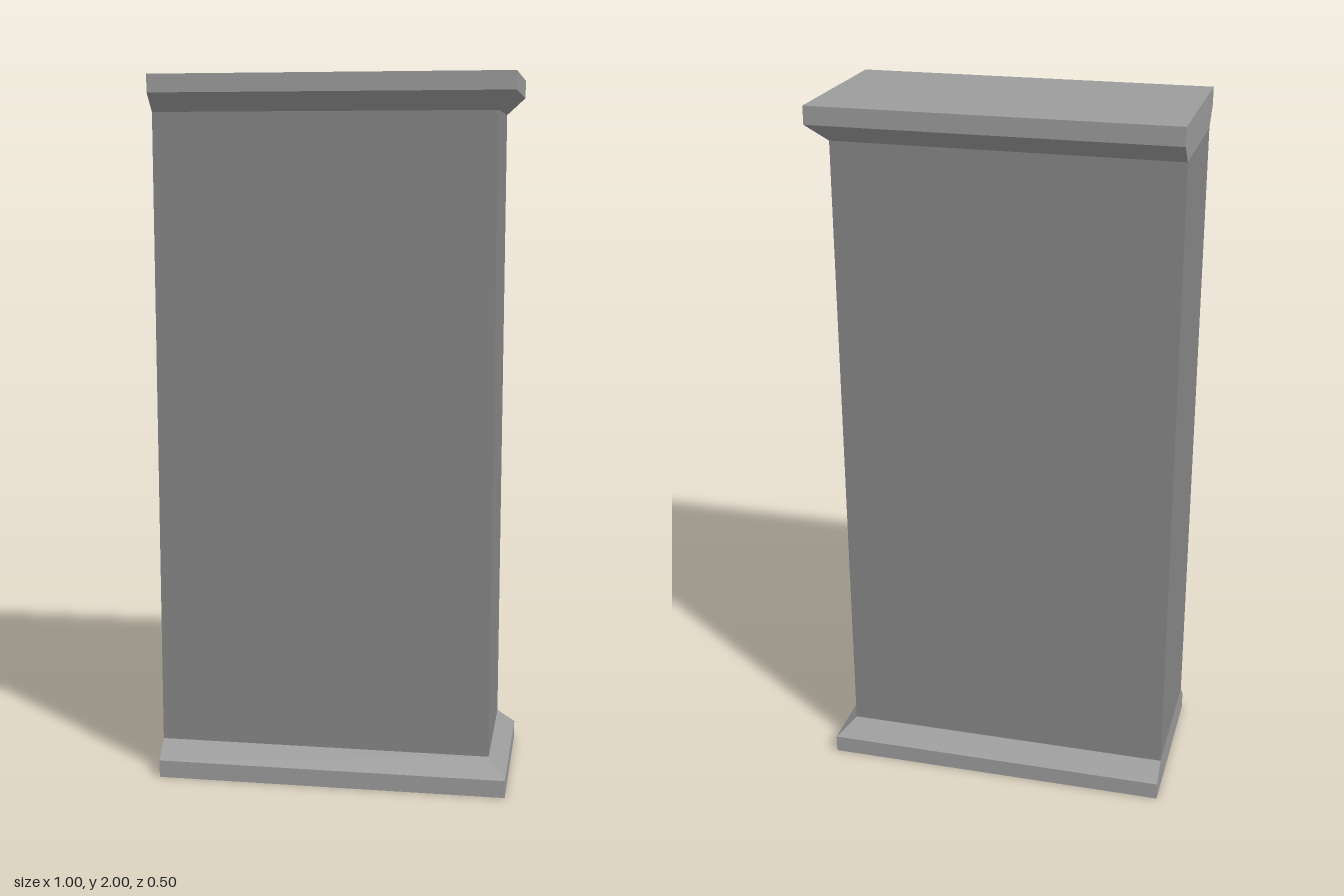
import * as THREE from 'three';

const wallMaterial = new THREE.MeshStandardMaterial({ color: 0x888888, flatShading: true });
const mouldingMaterial = new THREE.MeshStandardMaterial({ color: 0x9d9d9d, flatShading: true });

// A block with one row of vertices per [height, outward projection] level.
// The -x end stays flush; the projection returns around the other three sides.
function profiledBlock(name, levels, material) {
  const rows = levels.length - 1;
  const box = new THREE.BoxGeometry(1, 1, 1, 1, rows, 1);
  const pos = box.attributes.position;
  for (let i = 0; i < pos.count; i++) {
    const [y, out] = levels[Math.round((pos.getY(i) + 0.5) * rows)];
    const x = pos.getX(i) < 0 ? -0.5 : 0.45 + out;
    const z = Math.sign(pos.getZ(i)) * (0.2 + out);
    pos.setXYZ(i, x, y, z);
  }
  const geometry = box.toNonIndexed();
  geometry.computeVertexNormals();
  const mesh = new THREE.Mesh(geometry, material);
  mesh.name = name;
  return mesh;
}

export function createModel() {
  const group = new THREE.Group();
  group.name = 'wallEnd';
  group.add(
    // Plinth with a sloped top
    profiledBlock('baseMoulding', [[0, 0.05], [0.05, 0.05], [0.1, 0]], mouldingMaterial),
    // Plain wall between the mouldings
    profiledBlock('wall', [[0.1, 0], [1.9, 0]], wallMaterial),
    // Cap with a sloped underside
    profiledBlock('capMoulding', [[1.9, 0], [1.95, 0.05], [2, 0.05]], mouldingMaterial),
  );
  return group;
}
